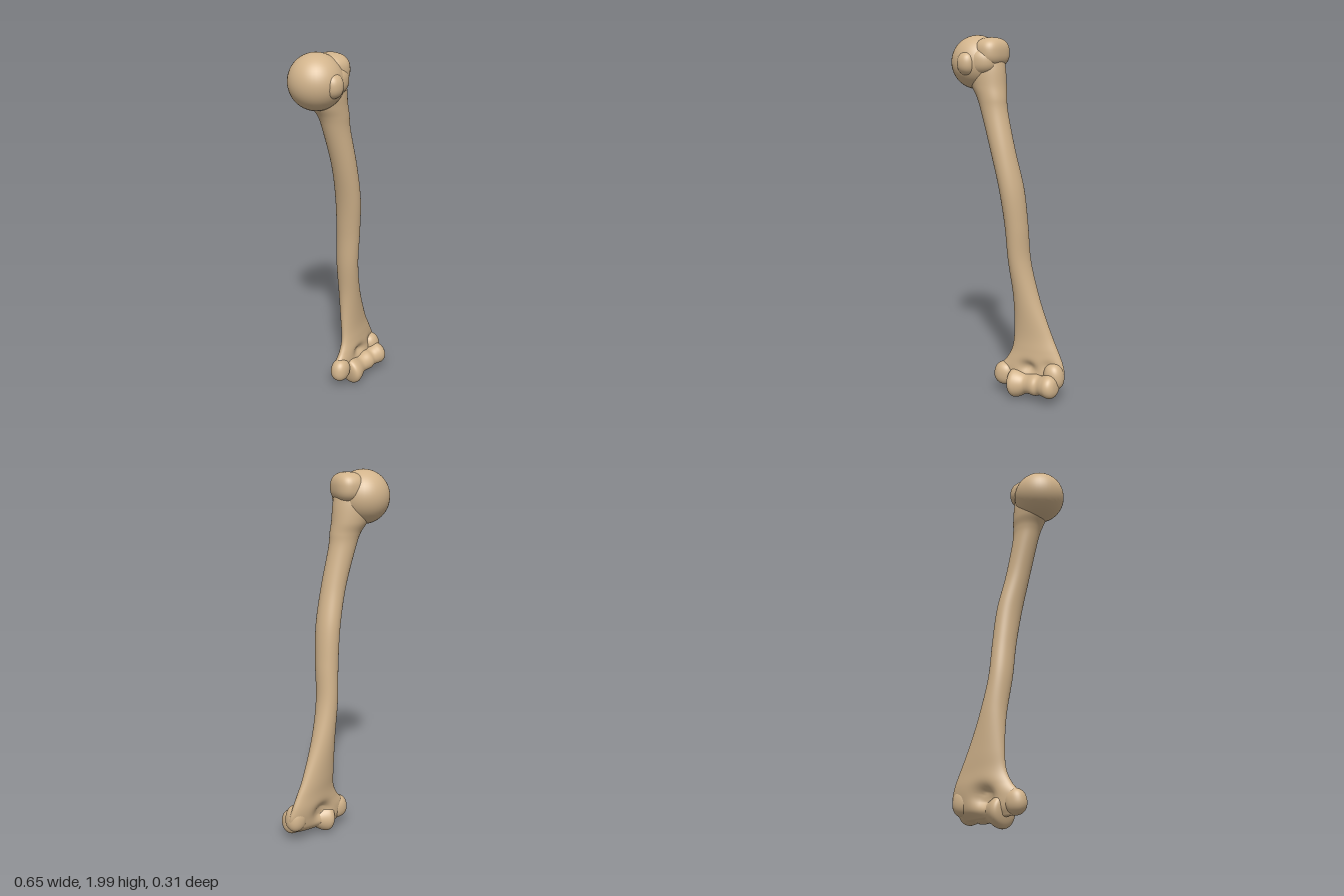
import * as THREE from 'three';
import { mergeVertices } from 'three/addons/utils/BufferGeometryUtils.js';

// Drop seams so that the surface shades as one smooth skin.
function smooth(geo) {
  geo.deleteAttribute('uv');
  geo.deleteAttribute('normal');
  const g = mergeVertices(geo, 1e-5);
  g.computeVertexNormals();
  return g;
}

// Rounded bony lump; power below 1 makes it boxier.
function lump(name, mat, pos, radii, power = 1, tilt = [0, 0, 0]) {
  const geo = new THREE.SphereGeometry(1, 40, 28);
  const p = geo.attributes.position;
  const f = (v) => Math.sign(v) * Math.abs(v) ** power;
  for (let i = 0; i < p.count; i++) {
    p.setXYZ(i, f(p.getX(i)) * radii[0], f(p.getY(i)) * radii[1], f(p.getZ(i)) * radii[2]);
  }
  const mesh = new THREE.Mesh(smooth(geo), mat);
  mesh.name = name;
  mesh.position.set(...pos);
  mesh.rotation.set(...tilt);
  return mesh;
}

// Shaft sections from top to bottom: y, left x, right x, centre z, half depth, z skew
const SECTIONS = [
  [1.90, -0.19, -0.03, 0.00, 0.075, 0],
  [1.82, -0.25, -0.018, 0.00, 0.092, 0],
  [1.74, -0.21, -0.012, 0.00, 0.086, 0],
  [1.68, -0.17, -0.004, 0.005, 0.075, 0],
  [1.60, -0.14, 0.005, 0.005, 0.069, 0],
  [1.40, -0.08, 0.05, 0.00, 0.069, 0],
  [1.20, -0.036, 0.09, -0.02, 0.075, 0],
  [1.00, -0.015, 0.105, -0.04, 0.07, 0],
  [0.80, -0.005, 0.112, -0.058, 0.067, -0.05],
  [0.60, 0.015, 0.155, -0.078, 0.06, -0.15],
  [0.40, 0.02, 0.225, -0.09, 0.05, -0.25],
  [0.30, 0.015, 0.27, -0.09, 0.048, -0.28],
  [0.23, -0.015, 0.30, -0.086, 0.05, -0.28],
  [0.17, -0.06, 0.315, -0.078, 0.047, -0.26],
  [0.11, -0.055, 0.305, -0.07, 0.042, -0.22],
  [0.07, -0.02, 0.27, -0.06, 0.025, -0.15],
];

// Hollows above the joint surface: x, y, spread x, spread y, depth, side (+1 front, -1 back)
const HOLLOWS = [
  [0.11, 0.17, 0.05, 0.05, 0.05, -1],
  [0.13, 0.20, 0.04, 0.035, 0.03, 1],
  [0.24, 0.22, 0.03, 0.03, 0.012, 1],
];

function shaftGeometry() {
  const mid = new THREE.CatmullRomCurve3(
    SECTIONS.map(([y, l, r, z]) => new THREE.Vector3((l + r) / 2, y, z)), false, 'catmullrom', 0.5);
  const size = new THREE.CatmullRomCurve3(
    SECTIONS.map(([, l, r, , d, k]) => new THREE.Vector3((r - l) / 2, d, k)), false, 'catmullrom', 0.5);
  const rows = 150, cols = 56, pos = [], index = [];
  for (let i = 0; i <= rows; i++) {
    const c = mid.getPoint(i / rows), s = size.getPoint(i / rows);
    for (let j = 0; j < cols; j++) {
      const a = (j / cols) * Math.PI * 2;
      const x = c.x + s.x * Math.cos(a);
      let side = s.y * Math.sin(a);
      for (const [hx, hy, sx, sy, depth, dir] of HOLLOWS) {
        const w = Math.exp(-(((x - hx) / sx) ** 2) - ((c.y - hy) / sy) ** 2);
        if (side * dir > 0) side -= dir * Math.min(depth * w, Math.abs(side) * 0.8);
      }
      pos.push(x, c.y, c.z + s.z * s.x * Math.cos(a) + side);
    }
  }
  for (let i = 0; i < rows; i++) {
    for (let j = 0; j < cols; j++) {
      const n = (j + 1) % cols, a = i * cols + j, b = i * cols + n;
      index.push(a, b, a + cols, b, b + cols, a + cols);
    }
  }
  // End caps
  const top = pos.length / 3, last = rows * cols;
  const p0 = mid.getPoint(0), p1 = mid.getPoint(1);
  pos.push(p0.x, p0.y, p0.z, p1.x, p1.y - 0.012, p1.z);
  for (let j = 0; j < cols; j++) {
    const n = (j + 1) % cols;
    index.push(top, n, j, top + 1, last + j, last + n);
  }
  const geo = new THREE.BufferGeometry();
  geo.setAttribute('position', new THREE.Float32BufferAttribute(pos, 3));
  geo.setIndex(index);
  geo.computeVertexNormals();
  return geo;
}

// Spool-shaped elbow joint turned around a slightly tilted sideways axis
function jointSpool(mat) {
  const from = new THREE.Vector3(0.02, 0.092, -0.03);
  const axis = new THREE.Vector3(0.315, 0.128, -0.055).sub(from);
  const length = axis.length();
  const profile = [[0, 0], [0.05, 0.02], [0.076, 0.06], [0.083, 0.13], [0.075, 0.22], [0.057, 0.34],
    [0.055, 0.42], [0.06, 0.52], [0.06, 0.58], [0.054, 0.66], [0.061, 0.76], [0.066, 0.85],
    [0.058, 0.93], [0.035, 0.985], [0, 1]];
  const curve = new THREE.SplineCurve(profile.map(([r, t]) => new THREE.Vector2(r, t * length)));
  const points = curve.getPoints(70).map((p) => p.setX(Math.max(p.x, 0)));
  const mesh = new THREE.Mesh(smooth(new THREE.LatheGeometry(points, 48)), mat);
  mesh.name = 'elbowJointSurface';
  mesh.position.copy(from);
  mesh.quaternion.setFromUnitVectors(new THREE.Vector3(0, 1, 0), axis.normalize());
  return mesh;
}

export function createModel() {
  const bone = new THREE.MeshStandardMaterial({ color: 0xd2b48c });
  bone.name = 'bone';
  const model = new THREE.Group();
  model.name = 'upperArmBone';

  const shaft = new THREE.Mesh(shaftGeometry(), bone);
  shaft.name = 'shaft';
  model.add(shaft);

  // Shoulder end
  model.add(
    lump('ballHead', bone, [-0.188, 1.86, 0], [0.14, 0.14, 0.14]),
    lump('greaterTubercle', bone, [-0.093, 1.91, -0.003], [0.078, 0.078, 0.098], 0.8),
    lump('lesserTubercle', bone, [-0.17, 1.855, 0.1], [0.052, 0.062, 0.058], 0.9),
    lump('headCollar', bone, [-0.15, 1.865, 0.03], [0.115, 0.08, 0.09], 0.85),
  );

  // Elbow end
  model.add(
    jointSpool(bone),
    lump('innerEpicondyle', bone, [-0.025, 0.135, -0.025], [0.058, 0.066, 0.05], 0.9, [0, 0.2, -0.15]),
    lump('outerEpicondyle', bone, [0.265, 0.165, -0.1], [0.056, 0.075, 0.055], 0.9, [0, 0.2, 0.15]),
  );
  return model;
}
